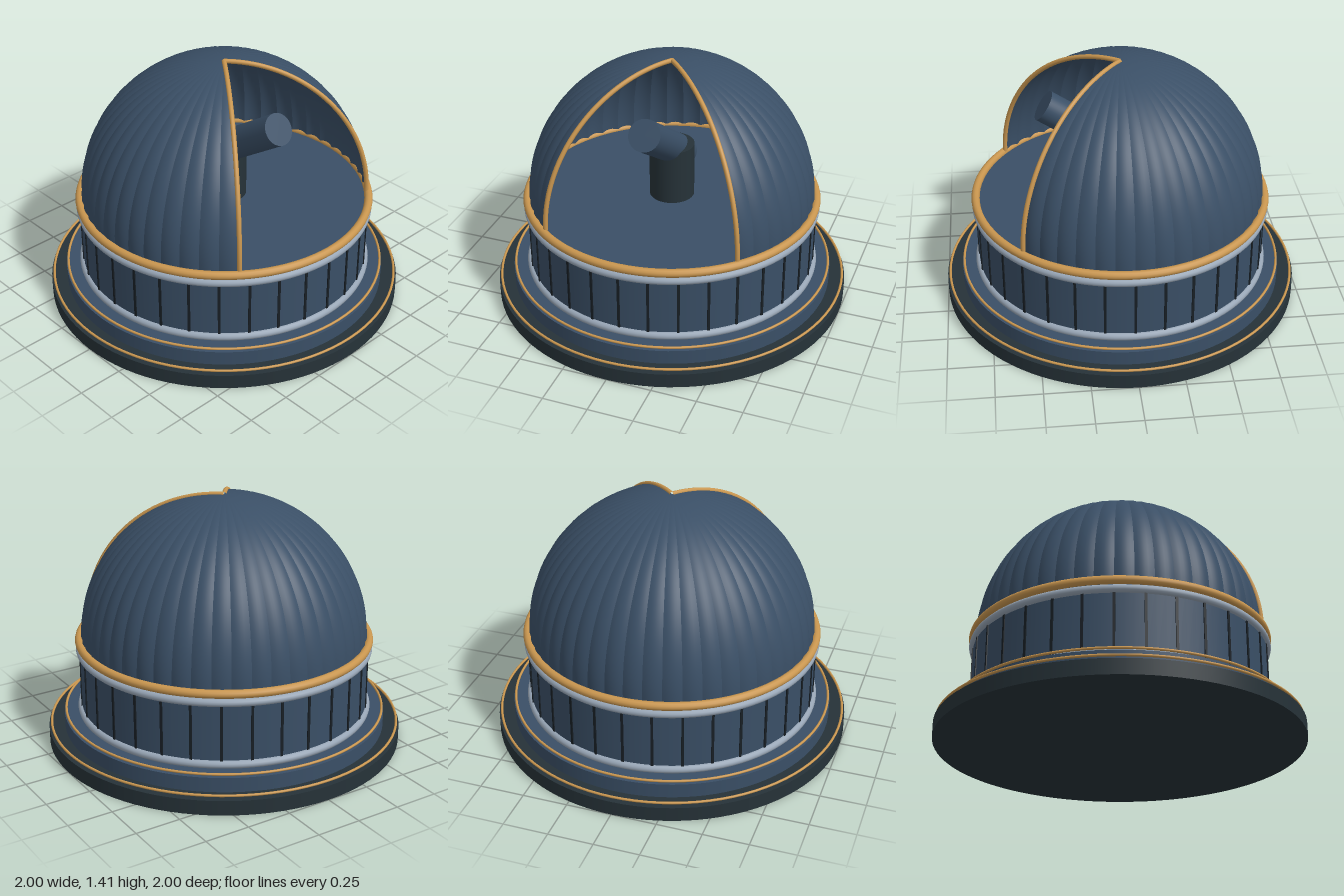
import * as THREE from 'three';
import { mergeGeometries } from 'three/addons/utils/BufferGeometryUtils.js';

const rad = THREE.MathUtils.degToRad;
const material = (name, color, side = THREE.FrontSide) => {
  const m = new THREE.MeshStandardMaterial({ color, side });
  m.name = name;
  return m;
};

export function createModel() {
  const blue = material('slate blue', 0x3a4f66, THREE.DoubleSide);
  const dark = material('charcoal', 0x263238);
  const seam = material('seam black', 0x181f25);
  const gold = material('brass', 0xc9964f);
  const steel = material('pale steel', 0x98a6b6);

  const group = new THREE.Group();
  const add = (name, geometry, mat) => {
    const mesh = new THREE.Mesh(geometry, mat);
    mesh.name = name;
    group.add(mesh);
    return mesh;
  };
  const drum = (name, r, y0, y1, mat) => {
    const mesh = add(name, new THREE.CylinderGeometry(r, r, y1 - y0, 96), mat);
    mesh.position.y = (y0 + y1) / 2;
    return mesh;
  };
  const ring = (name, r, tube, y, mat) => {
    const mesh = add(name, new THREE.TorusGeometry(r, tube, 12, 96), mat);
    mesh.rotation.x = Math.PI / 2;
    mesh.position.y = y;
  };

  // Stepped base and round wall, closed by the floor on top
  drum('base', 1, 0, 0.083, dark);
  drum('step', 0.91, 0.083, 0.165, blue);
  drum('wall', 0.81, 0.165, 0.585, blue);

  // Trim rings
  ring('baseTrim', 0.985, 0.007, 0.105, gold);
  ring('stepTrim', 0.9, 0.007, 0.18, gold);
  ring('lowerWallRing', 0.81, 0.022, 0.19, steel);
  ring('upperWallRing', 0.81, 0.022, 0.54, steel);
  ring('domeRail', 0.812, 0.023, 0.588, gold);

  // Vertical seams between the wall panels
  const seams = [];
  for (let i = 0; i < 32; i++) {
    const g = new THREE.BoxGeometry(0.014, 0.31, 0.009);
    g.translate(0, 0.365, 0.811);
    seams.push(g.rotateY((i / 32) * Math.PI * 2));
  }
  add('wallSeams', mergeGeometries(seams), seam);

  // Dome of bulging gores, leaving a wedge open at the front
  const R = 0.8, step = 7.5, start = 45, count = 37;
  const gore = new THREE.SphereGeometry(R, 6, 28, Math.PI / 2, rad(step), 0, Math.PI / 2);
  const p = gore.attributes.position;
  const uv = gore.attributes.uv;
  for (let i = 0; i < p.count; i++) {
    const across = 2 * (i % 7) / 6 - 1;
    const k = 1 - 0.013 * across * across;
    p.setXYZ(i, p.getX(i) * k, p.getY(i), p.getZ(i) * k);
  }
  gore.computeVertexNormals();
  const gores = [];
  for (let i = 0; i < count; i++) gores.push(gore.clone().rotateY(rad(start + i * step)));
  add('dome', mergeGeometries(gores), blue).position.y = 0.6;

  // Brass edges of the opening
  for (const [name, angle] of [['openingEdgeLeft', start], ['openingEdgeRight', start + count * step]]) {
    const arc = add(name, new THREE.TorusGeometry(R, 0.013, 10, 40, Math.PI / 2), gold);
    arc.rotation.y = rad(angle - 90);
    arc.position.y = 0.6;
  }

  // Telescope on its pier
  const pier = add('pier', new THREE.CylinderGeometry(0.125, 0.125, 0.32, 40), dark);
  pier.position.y = 0.74;
  const length = 0.7, tilt = rad(34);
  const tube = add('telescopeTube', new THREE.CylinderGeometry(0.088, 0.088, length, 40), blue);
  tube.rotation.x = Math.PI / 2 - tilt;
  tube.position.set(0, 1.155 - Math.sin(tilt) * length / 2, 0.415 - Math.cos(tilt) * length / 2);

  return group;
}
